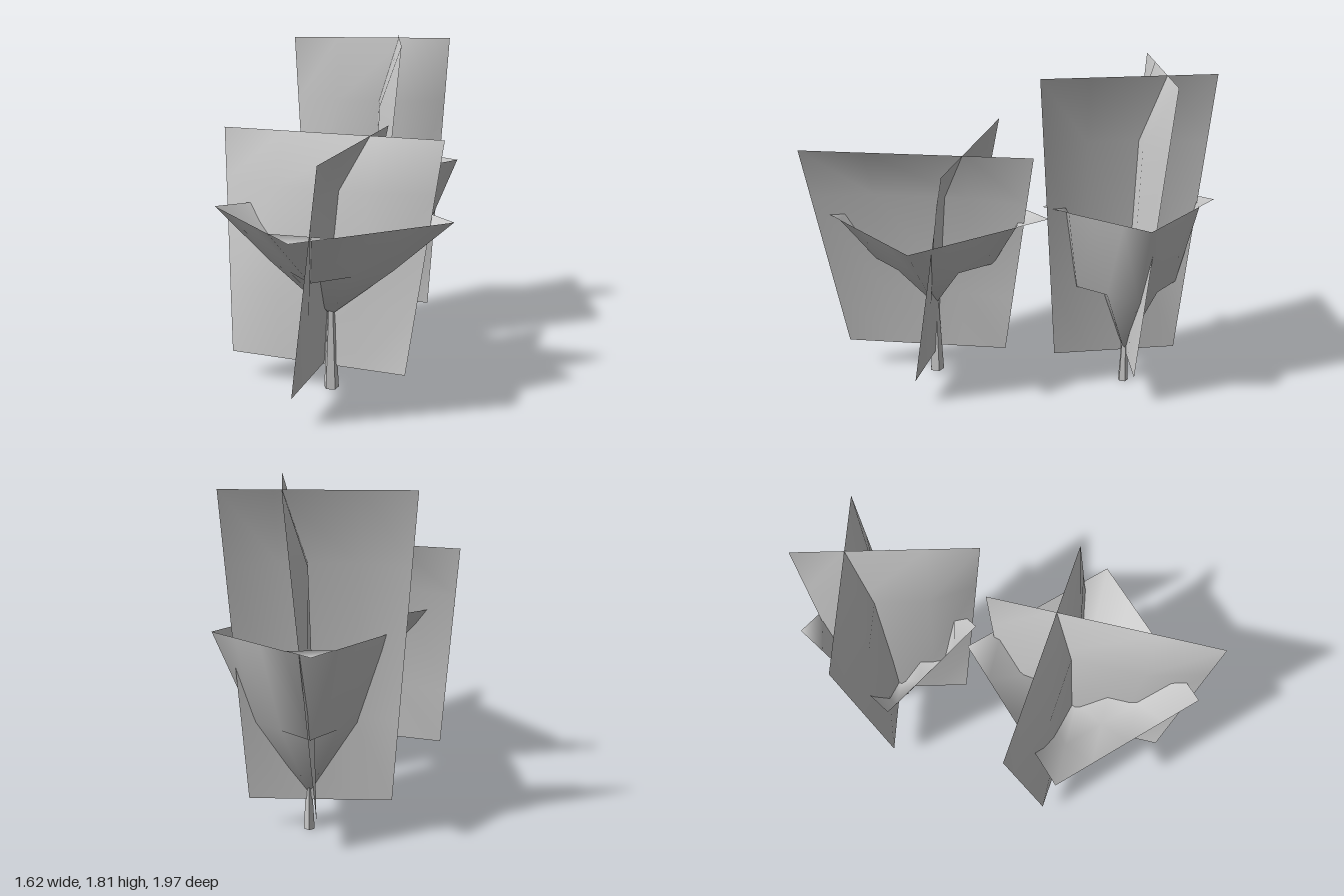
import * as THREE from 'three';

const leafMat = new THREE.MeshStandardMaterial({ color: 0xcccccc, side: THREE.DoubleSide });
const stemMat = new THREE.MeshStandardMaterial({ color: 0xcccccc, flatShading: true });

// Upright leaf card: top edge a-b, narrower bottom edge shifted forward, inner area bulging out
function leafCard({ a, b, top, bottom, shift, inset, bulge }) {
  const A = new THREE.Vector3(a[0], top, a[1]);
  const B = new THREE.Vector3(b[0], top, b[1]);
  const along = B.clone().sub(A).normalize();
  const out = new THREE.Vector3(-along.z, 0, along.x);
  const low = (p, s) => p.clone().addScaledVector(along, s * inset).addScaledVector(out, shift).setY(bottom);
  const C = low(A, 1), D = low(B, -1);
  const us = [0, 0.28, 0.72, 1], vs = [0, 0.23, 0.72, 1], amount = [0, 1, 0.45, 0];
  const geo = new THREE.PlaneGeometry(1, 1, 3, 3);
  const pos = geo.attributes.position;
  for (let j = 0; j < 4; j++) {
    for (let i = 0; i < 4; i++) {
      const p = A.clone().lerp(B, us[i]).lerp(C.clone().lerp(D, us[i]), vs[j]);
      if (i === 1 || i === 2) p.addScaledVector(out, bulge * amount[j]);
      pos.setXYZ(j * 4 + i, p.x, p.y, p.z);
    }
  }
  geo.computeVertexNormals();
  return new THREE.Mesh(geo, leafMat);
}

// Square leaf cup: rim, middle ring and a low centre point
function leafCup({ center, edge, rimY, midY, midScale, lowY }) {
  const geo = new THREE.PlaneGeometry(4, 4, 4, 4);
  const pos = geo.attributes.position;
  const scale = [0, midScale, 1], heights = [lowY, midY, rimY];
  const [ex, ez] = edge;
  for (let k = 0; k < pos.count; k++) {
    const i = Math.round(pos.getX(k)), j = -Math.round(pos.getY(k));
    const ring = Math.max(Math.abs(i), Math.abs(j));
    const s = ring ? scale[ring] / ring / 2 : 0;
    pos.setXYZ(k,
      center[0] + s * (i * ex - j * ez),
      heights[ring],
      center[1] + s * (i * ez + j * ex));
  }
  geo.computeVertexNormals();
  return new THREE.Mesh(geo, leafMat);
}

function plant(name, { stem, cup, cards }) {
  const g = new THREE.Group();
  g.name = name;

  // tapered stem
  const h = stem.top - stem.base;
  const stemMesh = new THREE.Mesh(new THREE.CylinderGeometry(stem.r * 0.45, stem.r, h, 5), stemMat);
  stemMesh.position.set(cup.center[0], stem.base + h / 2, cup.center[1]);
  stemMesh.name = 'stem';
  g.add(stemMesh);

  // horizontal cup of foliage
  const cupMesh = leafCup(cup);
  cupMesh.name = 'leafCup';
  g.add(cupMesh);

  // two crossed upright cards
  cards.forEach((c, i) => {
    const m = leafCard(c);
    m.name = i ? 'lengthwiseLeafCard' : 'crosswiseLeafCard';
    g.add(m);
  });
  return g;
}

export function createModel() {
  const model = new THREE.Group();
  model.name = 'plantPair';

  model.add(plant('tallBackPlant', {
    stem: { base: 0, top: 0.3, r: 0.03 },
    cup: { center: [-0.28, -0.59], edge: [0.68, 0.055], rimY: 1.08, midY: 0.6, midScale: 0.59, lowY: 0.19 },
    cards: [
      { a: [-0.81, -0.41], b: [-0.03, -0.96], top: 1.81, bottom: 0.17, shift: 0.147, inset: 0.104, bulge: 0.085 },
      { a: [0.15, -0.27], b: [-0.46, -0.99], top: 1.81, bottom: 0.18, shift: -0.15, inset: 0.12, bulge: -0.085 },
    ].map(orient),
  }));

  model.add(plant('wideFrontPlant', {
    stem: { base: 0.02, top: 0.46, r: 0.042 },
    cup: { center: [0.215, 0.385], edge: [0.87, 0.32], rimY: 0.98, midY: 0.7, midScale: 0.52, lowY: 0.43 },
    cards: [
      { a: [-0.54, 0.43], b: [0.66, 0], top: 1.37, bottom: 0.145, shift: 0.21, inset: 0.13, bulge: 0.09 },
      { a: [0.66, 0.96], b: [0.11, -0.21], top: 1.37, bottom: 0.155, shift: -0.2, inset: 0.18, bulge: -0.09 },
    ].map(orient),
  }));
  return model;
}

// Order each card's ends so that it always bulges towards the front
function orient(c) {
  return c.shift < 0 ? { ...c, a: c.b, b: c.a, shift: -c.shift, bulge: -c.bulge } : c;
}
